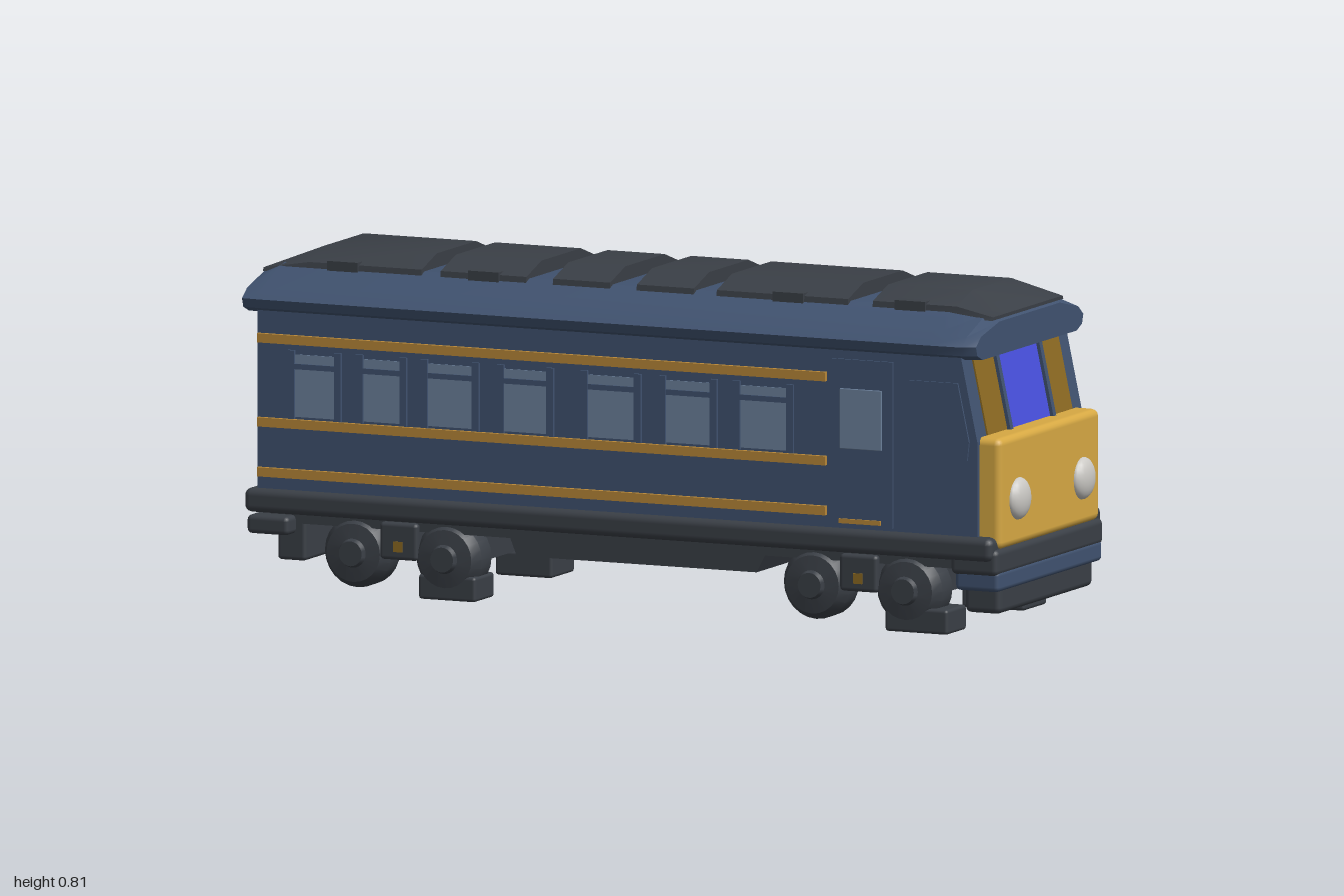
import * as THREE from 'three';
import { toCreasedNormals } from 'three/addons/utils/BufferGeometryUtils.js';
import { RoundedBoxGeometry } from 'three/addons/geometries/RoundedBoxGeometry.js';

const mat = (name, color) => new THREE.MeshStandardMaterial({ name, color });

export function createModel() {
  const navy = mat('navy', 0x40526f);
  const charcoal = mat('charcoal', 0x3a3f46);
  const yellow = mat('yellow', 0xd6a843);
  const gold = mat('darkGold', 0x8c6a22);
  const trim = mat('orangeTrim', 0xb98838);
  const blue = mat('windscreenBlue', 0x4850de);
  const glass = mat('windowGlass', 0x6c819c);
  const silver = mat('lampSilver', 0xcac8c4);
  const red = mat('lampRed', 0xa83a20);

  const train = new THREE.Group();
  train.name = 'railcar';

  const add = (name, geo, material, x = 0, y = 0, z = 0, parent = train) => {
    const m = new THREE.Mesh(geo, material);
    m.name = name;
    m.position.set(x, y, z);
    parent.add(m);
    return m;
  };
  // Box given by its extents, optionally with rounded edges
  const box = (name, material, [x0, x1], [y0, y1], [z0, z1], r = 0) => {
    const s = [x1 - x0, y1 - y0, z1 - z0];
    const geo = r ? new RoundedBoxGeometry(...s, 2, r) : new THREE.BoxGeometry(...s);
    return add(name, geo, material, (x0 + x1) / 2, (y0 + y1) / 2, (z0 + z1) / 2);
  };
  // Flat outline in x and y, extruded symmetrically to +-half in z
  const sidePlate = (name, material, pts, half, z = 0) => {
    const shape = new THREE.Shape(pts.map(p => new THREE.Vector2(...p)));
    const geo = new THREE.ExtrudeGeometry(shape, { depth: half * 2, bevelEnabled: false });
    return add(name, geo.translate(0, 0, -half), material, 0, 0, z);
  };
  // Skin over mirrored cross-sections; each one is [x, [[z, y], ...]] from lowest side point to top
  const loft = (sections) => {
    const rings = sections.map(([x, half]) => [
      ...half.map(([z, y]) => [x, y, z]),
      ...half.slice().reverse().map(([z, y]) => [x, y, -z]),
    ]);
    const pos = [];
    const n = rings[0].length;
    const tri = (a, b, c) => pos.push(...a, ...b, ...c);
    for (let s = 0; s < rings.length - 1; s++) {
      const a = rings[s], b = rings[s + 1];
      for (let i = 0; i < n; i++) {
        const j = (i + 1) % n;
        tri(a[i], b[i], b[j]);
        tri(a[i], b[j], a[j]);
      }
    }
    const last = rings[rings.length - 1];
    for (let i = 1; i < n - 1; i++) {
      tri(rings[0][0], rings[0][i], rings[0][i + 1]);
      tri(last[0], last[i + 1], last[i]);
    }
    const geo = new THREE.BufferGeometry();
    geo.setAttribute('position', new THREE.Float32BufferAttribute(pos, 3));
    return toCreasedNormals(geo, 0.5);
  };

  // Body shell with raked cab front
  sidePlate('body', navy, [[-0.97, 0.2], [0.92, 0.2], [0.92, 0.47], [0.873, 0.69], [-0.97, 0.69]], 0.293);

  // Overhanging roof with sloped shoulders
  const roofRing = (x, w, top) => [x, [[0.28 * w, 0.665], [0.312 * w, 0.678], [0.32 * w, 0.7],
    [0.29 * w, 0.722], [0.18 * w, top]]];
  add('roof', loft([roofRing(-1, 0.99, 0.752), roofRing(-0.95, 1, 0.772), roofRing(0.8, 1, 0.772),
    roofRing(0.89, 0.99, 0.762), roofRing(0.92, 0.94, 0.745)]), navy);

  // Raised roof panels; the end ones slope down to the roof lip
  const panelRing = (x, top) => [x, [[0.2, 0.75], [0.195, Math.min(top, 0.778)], [0.11, top]]];
  const panels = [[-0.585, -1, -0.88], [-0.535, -0.31], [-0.24, -0.09], [-0.02, 0.13], [0.19, 0.535], [0.6, 0.915, 0.82]];
  for (const [a, b, crest] of panels) {
    let rings = [panelRing(a, 0.806), panelRing(b, 0.806)];
    if (crest !== undefined) rings = [panelRing(a, 0.806), panelRing(crest, 0.806), panelRing(b, 0.758)];
    rings.sort((p, q) => p[0] - q[0]);
    add('roofPanel', loft(rings), charcoal);
  }
  for (const s of [-1, 1]) for (const x of [-0.79, -0.42, 0.38, 0.7]) {
    box('roofVent', charcoal, [x - 0.04, x + 0.04], [0.755, 0.785], s > 0 ? [0.17, 0.203] : [-0.203, -0.17]);
  }

  // Side details, mirrored
  const windows = [[-0.88, -0.757], [-0.7, -0.585], [-0.53, -0.395], [-0.33, -0.2], [-0.11, 0.03], [0.095, 0.23], [0.29, 0.43]];
  for (const s of [-1, 1]) {
    const zz = (a, b) => (s > 0 ? [a, b] : [-b, -a]);
    for (const y of [0.605, 0.403, 0.283]) box('sideStripe', trim, [-0.967, 0.525], [y - 0.011, y + 0.011], zz(0.29, 0.304));
    for (const w of windows) {
      box('sideWindow', glass, w, [0.42, 0.57], zz(0.292, 0.296));
      box('windowBar', navy, w, [0.535, 0.548], zz(0.292, 0.3));
      for (const x of w) box('windowPost', navy, [x - 0.009, x + 0.009], [0.415, 0.58], zz(0.292, 0.301));
    }
    box('door', navy, [0.54, 0.7], [0.25, 0.65], zz(0.292, 0.299));
    box('doorWindow', glass, [0.562, 0.672], [0.435, 0.58], zz(0.297, 0.302), 0.002);
    box('doorSill', trim, [0.56, 0.67], [0.256, 0.267], zz(0.297, 0.304));
    sidePlate('cabWindow', navy, [[0.735, 0.45], [0.76, 0.425], [0.895, 0.425], [0.9, 0.47], [0.87, 0.61], [0.735, 0.61]], 0.003, s * 0.295);
  }

  // Raked windscreen: central pane and two outer panes
  const rake = Math.atan2(0.047, 0.22);
  const pane = (name, material, z, w) => {
    add(name, new THREE.BoxGeometry(0.008, 0.19, w), material, 0.898, 0.573, z).rotation.z = rake;
  };
  pane('windscreen', blue, 0, 0.222);
  for (const s of [-1, 1]) {
    pane('outerPane', gold, s * 0.183, 0.108);
    add('windscreenPillar', new THREE.BoxGeometry(0.02, 0.2, 0.016), navy, 0.9, 0.573, s * 0.12).rotation.z = rake;
  }

  // Nose panel and headlamps
  box('nosePanel', yellow, [0.9, 0.975], [0.212, 0.48], [-0.28, 0.28], 0.018);
  for (const s of [-1, 1]) {
    const lamp = add('headlamp', new THREE.SphereGeometry(0.051, 20, 12), silver, 0.974, 0.325, s * 0.18);
    lamp.scale.x = 0.51;
  }

  // Skirt, front bumper and plough
  box('skirt', charcoal, [-1, 0.965], [0.185, 0.243], [-0.312, 0.312], 0.018);
  box('frontBeam', charcoal, [0.85, 0.975], [0.15, 0.215], [-0.3, 0.3], 0.015);
  box('bumper', navy, [0.86, 0.975], [0.112, 0.163], [-0.293, 0.293], 0.012);
  box('plough', charcoal, [0.87, 0.965], [0.055, 0.13], [-0.262, 0.262], 0.015);

  // Underframe
  box('floorPan', charcoal, [-0.95, 0.92], [0.16, 0.2], [-0.27, 0.27]);
  sidePlate('equipmentBox', charcoal, [[-0.34, 0.19], [-0.31, 0.115], [0.32, 0.115], [0.36, 0.19]], 0.25);
  box('rearBeam', charcoal, [-0.99, -0.88], [0.135, 0.18], [-0.315, 0.315], 0.012);
  box('rearPlough', charcoal, [-0.93, -0.855], [0.07, 0.18], [-0.27, 0.27], 0.01);

  // Bogies with rounded wheels, axle boxes and rail shoes
  const wheelGeo = new THREE.LatheGeometry([[0, -0.055], [0.07, -0.055], [0.086, -0.035], [0.086, 0.02],
    [0.07, 0.045], [0.035, 0.05], [0.03, 0.062], [0, 0.062]].map(p => new THREE.Vector2(...p)), 24);
  const wheel = toCreasedNormals(wheelGeo.rotateX(Math.PI / 2), 0.6);
  for (const [a, b] of [[-0.725, -0.485], [0.48, 0.725]]) {
    box('bogieFrame', charcoal, [a - 0.04, b + 0.04], [0.08, 0.17], [-0.18, 0.18]);
    for (const s of [-1, 1]) {
      for (const x of [a, b]) {
        const w = add('wheel', wheel, charcoal, x, 0.1, s * 0.235);
        if (s < 0) w.rotation.y = Math.PI;
      }
      const m = (a + b) / 2, z = s > 0 ? [0.2, 0.285] : [-0.285, -0.2];
      box('suspension', charcoal, [m - 0.05, m + 0.05], [0.09, 0.18], z, 0.01);
      box('springPin', gold, [m - 0.012, m + 0.012], [0.11, 0.135], s > 0 ? [0.28, 0.288] : [-0.288, -0.28]);
      const shoe = b > 0 ? [0.67, 0.835] : [-0.555, -0.405];
      box('railShoe', charcoal, shoe, [0, 0.06], s > 0 ? [0.17, 0.28] : [-0.28, -0.15], 0.008);
    }
  }

  // Rear end: door panel, corner ribs and tail lamps
  box('rearDoor', navy, [-0.977, -0.968], [0.25, 0.63], [-0.1, 0.1]);
  for (const s of [-1, 1]) box('rearPanel', navy, [-0.975, -0.968], [0.42, 0.62], s > 0 ? [0.13, 0.25] : [-0.25, -0.13]);
  const disc = (name, material, r, y, z) => {
    add(name, new THREE.CylinderGeometry(r, r, 0.016, 20), material, -0.976, y, z).rotation.z = Math.PI / 2;
  };
  disc('tailLamp', red, 0.05, 0.31, 0);
  disc('smallTailLamp', red, 0.018, 0.37, 0.24);
  disc('rearMarker', trim, 0.016, 0.29, 0.062);

  return train;
}
